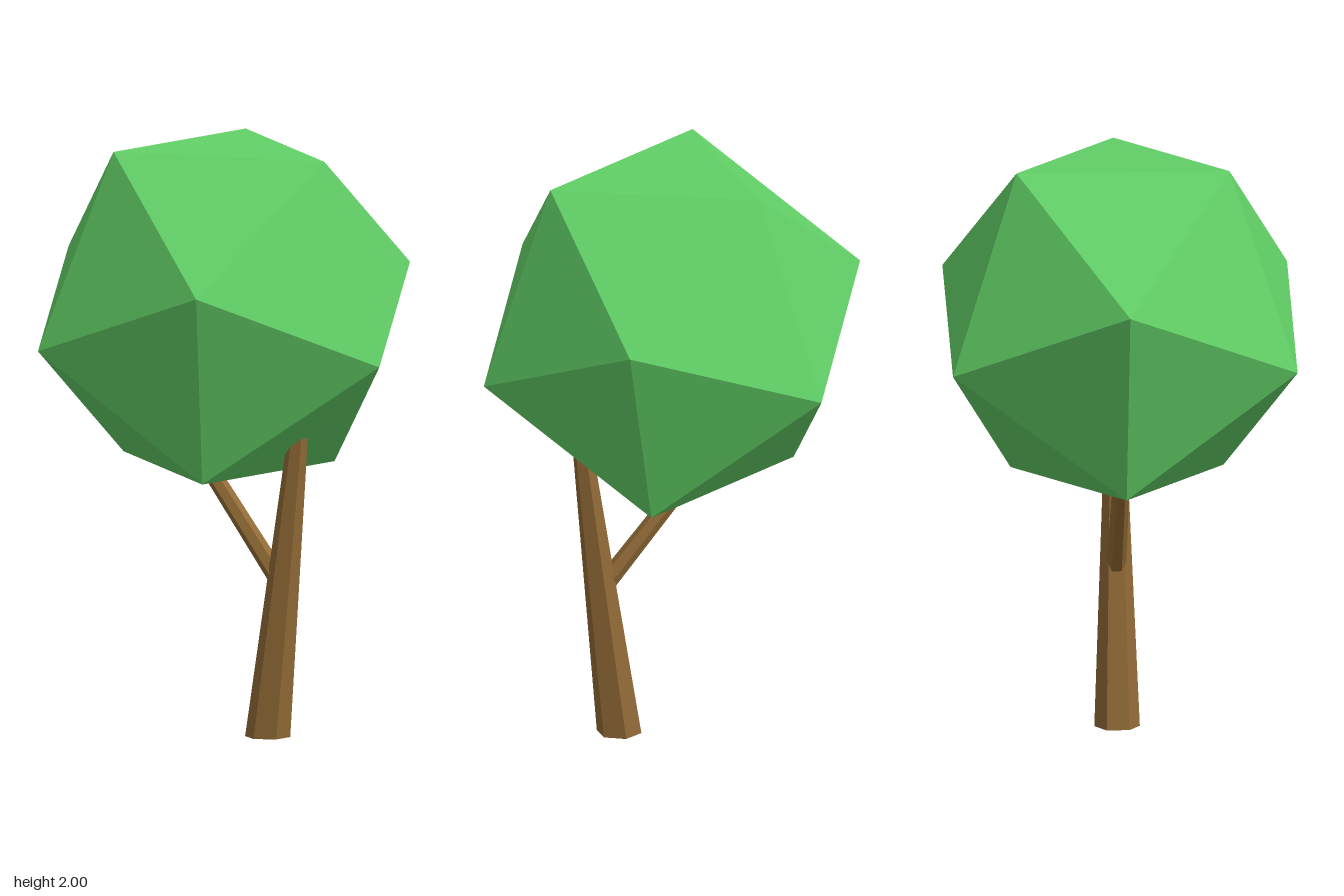
import * as THREE from 'three';

const bark = new THREE.MeshStandardMaterial({ color: 0x916a36, flatShading: true });
const leaf = new THREE.MeshStandardMaterial({ color: 0x62d067, flatShading: true });

function addPart(group, name, geometry, material) {
  const mesh = new THREE.Mesh(geometry, material);
  mesh.name = name;
  group.add(mesh);
  return mesh;
}

export function createModel() {
  const tree = new THREE.Group();
  tree.name = 'tree';

  // Tapered six-sided trunk, sheared so it leans while its foot stays level
  const height = 1.2;
  const lean = 0.125;
  const trunk = new THREE.CylinderGeometry(0.028, 0.077, height, 6);
  trunk.translate(0, height / 2, 0);
  trunk.applyMatrix4(new THREE.Matrix4().set(
    1, lean, 0, 0.188,
    0, 1, 0, 0,
    0, 0, 1, 0,
    0, 0, 0, 1));
  addPart(tree, 'trunk', trunk, bark);

  // Side branch rising from inside the trunk into the foliage
  const start = new THREE.Vector3(0.26, 0.513, 0);
  const end = new THREE.Vector3(-0.18, 1.03, 0);
  const along = end.clone().sub(start);
  const branch = addPart(tree, 'branch',
    new THREE.CylinderGeometry(0.027, 0.034, along.length(), 6), bark);
  branch.position.copy(start).lerp(end, 0.5);
  branch.quaternion.setFromUnitVectors(new THREE.Vector3(0, 1, 0), along.normalize());

  // Faceted crown, tilted about the front-to-back axis
  const crown = addPart(tree, 'foliage', new THREE.IcosahedronGeometry(0.685, 0), leaf);
  crown.position.y = 1.45;
  crown.rotation.z = THREE.MathUtils.degToRad(-70.85);

  return tree;
}
